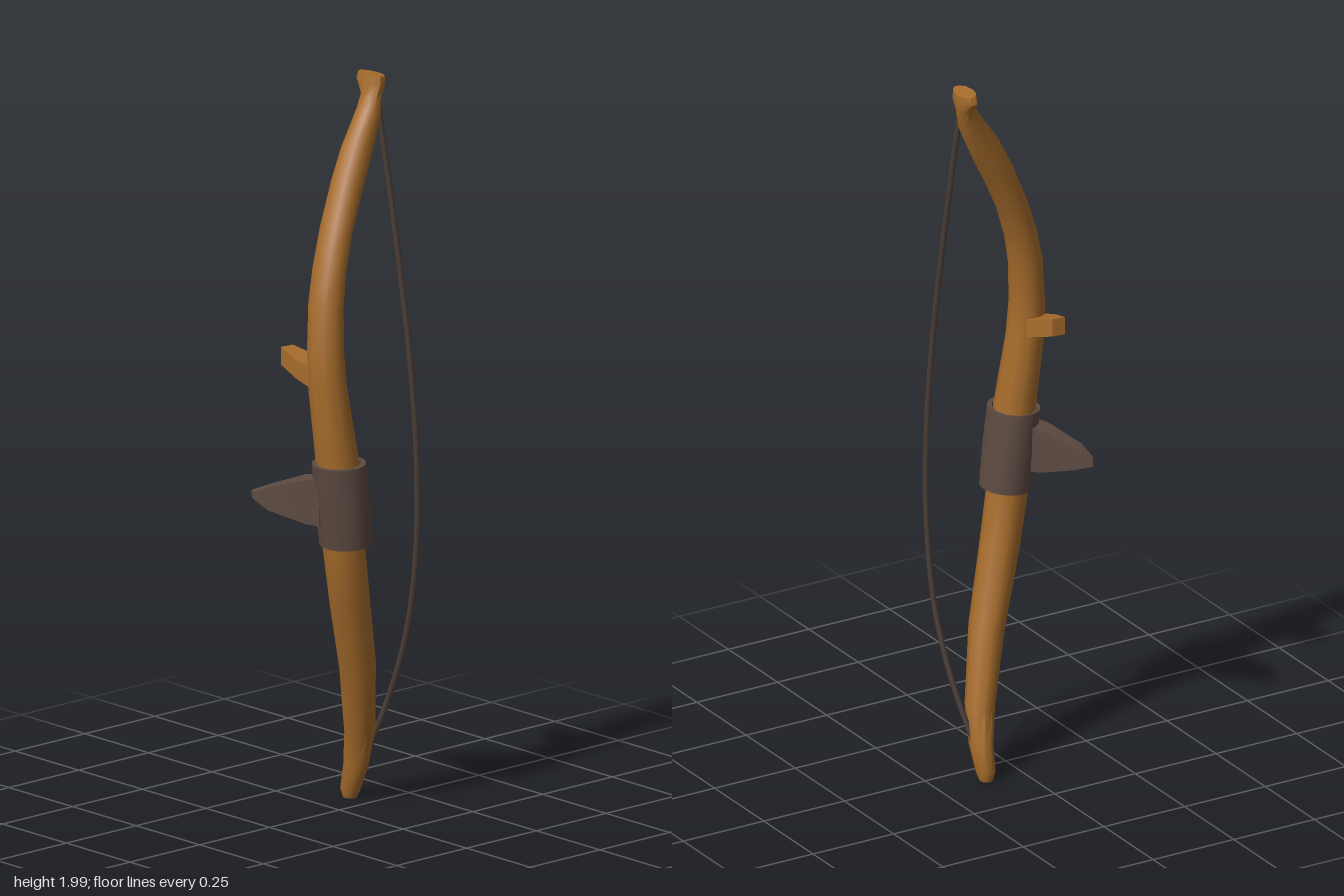
import * as THREE from 'three';
import { toCreasedNormals } from 'three/addons/utils/BufferGeometryUtils.js';

const material = (name, color) => {
  const m = new THREE.MeshStandardMaterial({ color });
  m.name = name;
  return m;
};

// Skin a list of rings (each an array of [x, y, z]); ends are closed with fans
function loft(rings, crease, capped = true) {
  const n = rings[0].length, pos = rings.flat(2), idx = [];
  for (let i = 0; i < rings.length - 1; i++) {
    for (let j = 0; j < n; j++) {
      const a = i * n + j, b = i * n + (j + 1) % n;
      idx.push(a, a + n, b, b, a + n, b + n);
    }
  }
  if (capped) {
    const last = (rings.length - 1) * n;
    for (let j = 1; j < n - 1; j++) {
      idx.push(0, j, j + 1, last, last + j + 1, last + j);
    }
  }
  const g = new THREE.BufferGeometry();
  g.setAttribute('position', new THREE.Float32BufferAttribute(pos, 3));
  g.setIndex(idx);
  return toCreasedNormals(g, crease);
}

// Horizontal elliptical ring; tilt lowers it towards +x
function ring(x, y, z, rx, rz, sides, tilt = 0) {
  return Array.from({ length: sides }, (_, i) => {
    const t = (i / sides) * Math.PI * 2, c = Math.cos(t) * rx;
    return [x + c, y - c * tilt, z + Math.sin(t) * rz];
  });
}

// Four-cornered section between a right and a left edge, [x, z] each
const section = ([rx, rz], [lx, lz], low, high) =>
  [[rx, high, rz], [lx, high, lz], [lx, low, lz], [rx, low, rz]];

export function createModel() {
  const bow = new THREE.Group();
  bow.name = 'bow';
  const wood = material('wood', 0xa86d2c);
  const leather = material('leather', 0x5c4a41);
  const cord = material('cord', 0x4c3e37);
  const add = (name, geometry, mat) => {
    const mesh = new THREE.Mesh(geometry, mat);
    mesh.name = name;
    bow.add(mesh);
  };

  // Curved stave: x, y, z, half width in x, half width in z, tilt
  const stave = [
    [0.108, 0.005, -0.077, 0.018, 0.021, 0],
    [0.108, 0.03, -0.074, 0.026, 0.031, 0],
    [0.110, 0.10, -0.055, 0.030, 0.040, 0],
    [0.095, 0.20, -0.024, 0.038, 0.046, -0.1],
    [0.047, 0.40, 0.020, 0.045, 0.055, -0.2],
    [-0.012, 0.60, 0.053, 0.052, 0.056, -0.2],
    [-0.045, 0.76, 0.066, 0.055, 0.058, -0.1],
    [-0.067, 1.00, 0.064, 0.056, 0.060, 0],
    [-0.095, 1.20, 0.058, 0.049, 0.056, 0],
    [-0.098, 1.30, 0.053, 0.046, 0.054, 0],
    [-0.087, 1.42, 0.043, 0.044, 0.052, 0.2],
    [-0.066, 1.51, 0.033, 0.041, 0.050, 0.3],
    [-0.030, 1.61, 0.020, 0.039, 0.048, 0.4],
    [0.024, 1.72, 0.003, 0.040, 0.044, 0.5],
    [0.068, 1.80, -0.009, 0.040, 0.040, 0.5],
    [0.128, 1.90, -0.024, 0.032, 0.033, 0.4],
    [0.143, 1.94, -0.032, 0.024, 0.032, 0.2],
    [0.151, 1.975, -0.042, 0.027, 0.050, 0.1],
    [0.152, 1.996, -0.040, 0.024, 0.046, 0.1],
  ];
  add('stave', loft(stave.map(([x, y, z, rx, rz, t]) => ring(x, y, z, rx, rz, 10, t)), 0.75), wood);

  // Side twig stub on the back
  add('twigStub', loft([
    section([-0.07, 0.03], [-0.135, 0.03], 1.20, 1.26),
    section([-0.075, -0.01], [-0.148, -0.01], 1.22, 1.27),
    section([-0.10, -0.073], [-0.137, -0.078], 1.24, 1.29),
  ], 0.4), wood);

  // Hollow grip wrap: outer wall, rims and inner wall
  const bottom = [-0.045, 0.765, 0.076], top = [-0.071, 0.99, 0.076];
  add('gripWrap', loft([
    ring(...bottom, 0.058, 0.060, 16, -0.08),
    ring(...bottom, 0.068, 0.076, 16, -0.08),
    ring(-0.058, 0.88, 0.077, 0.070, 0.078, 16, -0.03),
    ring(...top, 0.070, 0.076, 16, -0.05),
    ring(...top, 0.058, 0.060, 16, -0.05),
    ring(...bottom, 0.058, 0.060, 16, -0.08),
  ], 0.6, false), leather);

  // Tapered thorn behind the grip
  add('gripThorn', loft([
    section([-0.075, 0.02], [-0.125, 0.06], 0.82, 0.95),
    section([-0.10, -0.02], [-0.145, 0.02], 0.825, 0.945),
    section([-0.155, -0.10], [-0.188, -0.075], 0.85, 0.912),
    section([-0.18, -0.148], [-0.195, -0.125], 0.873, 0.89),
  ], 0.4), leather);

  // Slack bowstring
  const path = [
    [0.152, 1.93, -0.018], [0.160, 1.75, 0.010], [0.166, 1.55, 0.042],
    [0.174, 1.23, 0.087], [0.181, 0.95, 0.106], [0.184, 0.70, 0.100],
    [0.180, 0.47, 0.066], [0.160, 0.27, 0.010], [0.130, 0.115, -0.045],
  ].map((p) => new THREE.Vector3(...p));
  add('bowstring', new THREE.TubeGeometry(new THREE.CatmullRomCurve3(path), 32, 0.0085, 6), cord);

  return bow;
}
